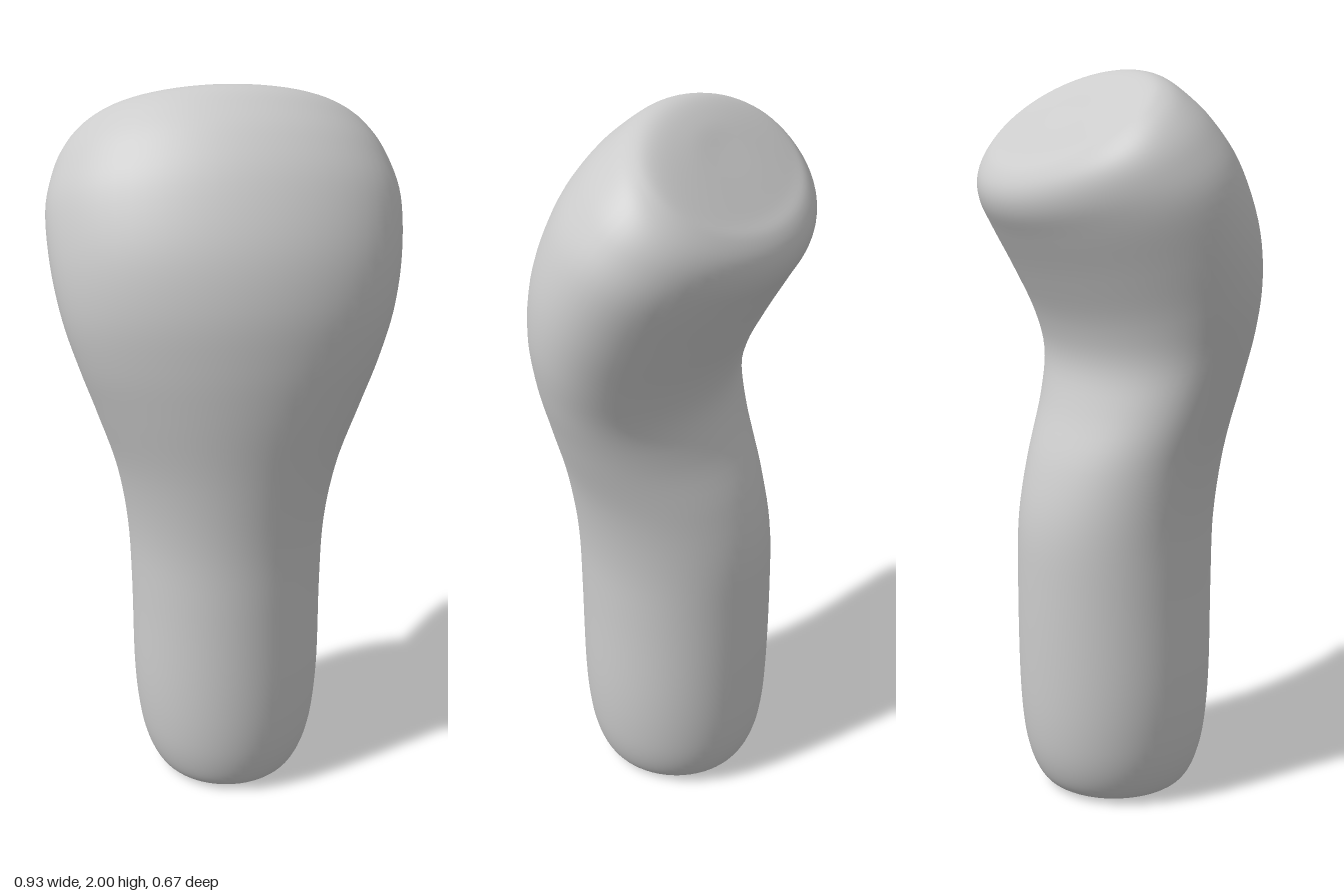
import * as THREE from 'three';

// Tilting rings from base to cap: [front y, front z, back y, back z, half width]
const RINGS = [
  [0, 0, 0, 0, 0],
  [0, 0.1, 0, -0.1, 0.1],
  [0.005, 0.175, 0.005, -0.18, 0.175],
  [0.03, 0.213, 0.03, -0.22, 0.21],
  [0.1, 0.241, 0.1, -0.252, 0.241],
  [0.2, 0.258, 0.2, -0.27, 0.26],
  [0.35, 0.266, 0.35, -0.278, 0.27],
  [0.6, 0.268, 0.6, -0.28, 0.271],
  [0.8, 0.271, 0.79, -0.272, 0.278],
  [1.0, 0.29, 0.95, -0.233, 0.304],
  [1.2, 0.318, 1.1, -0.172, 0.353],
  [1.35, 0.333, 1.22, -0.143, 0.396],
  [1.5, 0.335, 1.33, -0.166, 0.435],
  [1.65, 0.308, 1.45, -0.225, 0.46],
  [1.8, 0.242, 1.56, -0.288, 0.466],
  [1.9, 0.168, 1.63, -0.328, 0.443],
  [1.96, 0.1, 1.685, -0.335, 0.408],
  [1.993, 0.045, 1.735, -0.312, 0.36],
  [1.993, -0.01, 1.775, -0.268, 0.3],
  [1.955, -0.075, 1.84, -0.2, 0.15],
  [1.9, -0.135, 1.9, -0.135, 0],
];

// Smooth tube through the rings, each an ellipse spanning front to back
function loftGeometry(rings, sides, steps) {
  const front = new THREE.CatmullRomCurve3(rings.map(r => new THREE.Vector3(r[4], r[0], r[1])), false, 'catmullrom', 0.5);
  const back = new THREE.CatmullRomCurve3(rings.map(r => new THREE.Vector3(0, r[2], r[3])), false, 'catmullrom', 0.5);
  const rows = (rings.length - 1) * steps;
  const positions = [], index = [];
  for (let i = 0; i <= rows; i++) {
    const f = front.getPoint(i / rows), b = back.getPoint(i / rows);
    for (let j = 0; j < sides; j++) {
      const a = (j / sides) * Math.PI * 2;
      const t = (1 + Math.cos(a)) / 2;
      positions.push(
        f.x * Math.sin(a),
        Math.max(0, b.y + (f.y - b.y) * t),
        b.z + (f.z - b.z) * t
      );
      if (i < rows) {
        const k = (j + 1) % sides, p = i * sides, q = p + sides;
        if (i > 0) index.push(p + j, p + k, q + j);
        else index.push(p + j, q + k, q + j);
        if (i > 0 && i < rows - 1) index.push(p + k, q + k, q + j);
      }
    }
  }
  const geometry = new THREE.BufferGeometry();
  geometry.setAttribute('position', new THREE.Float32BufferAttribute(positions, 3));
  geometry.setIndex(index);
  geometry.computeVertexNormals();
  return geometry;
}

export function createModel() {
  const group = new THREE.Group();
  group.name = 'knobHandle';

  // Round stem flaring into a wide head with a sloped face at the back
  const body = new THREE.Mesh(
    loftGeometry(RINGS, 64, 5),
    new THREE.MeshStandardMaterial({ color: 0xcccccc })
  );
  body.name = 'handleBody';
  group.add(body);
  return group;
}
